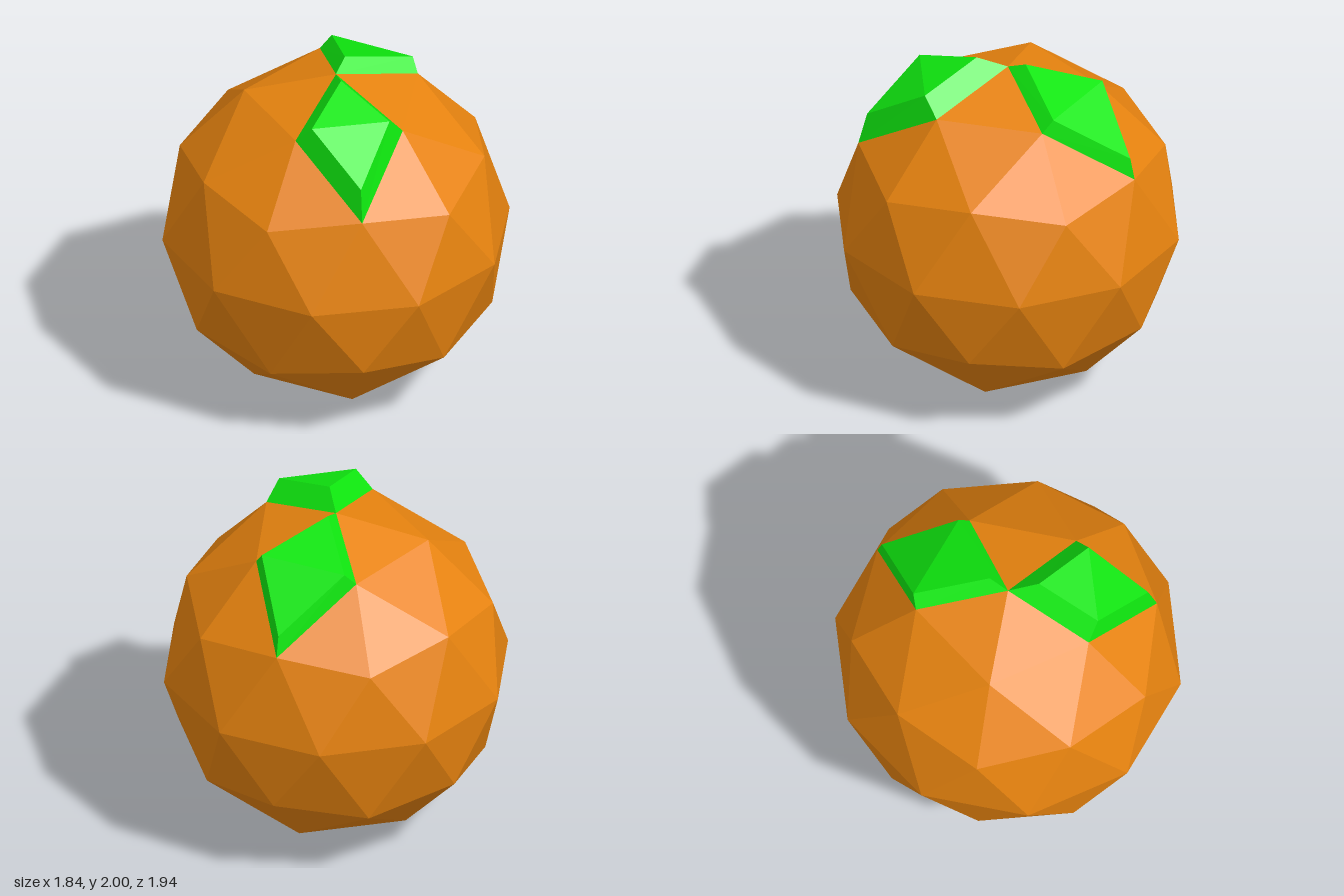
import * as THREE from 'three';

const R = 0.968; // fruit radius, also the height of its centre

// Point on the fruit's surface: azimuth in degrees (from +x toward +z), unit height
function onFruit(azimuth, h) {
  const a = THREE.MathUtils.degToRad(azimuth);
  const r = R * Math.sqrt(1 - h * h);
  return [r * Math.cos(a), R + R * h, r * Math.sin(a)];
}

// Leaf raised from a four-sided patch; corners run counter-clockwise seen from above
function leafGeometry(base, top) {
  const positions = [];
  const tri = (...points) => points.forEach((p) => positions.push(...p));
  for (let i = 0; i < 4; i++) {
    const j = (i + 1) % 4;
    tri(base[i], base[j], top[j]);
    tri(base[i], top[j], top[i]);
  }
  // Upper face folds along the middle ridge
  tri(top[0], top[1], top[3]);
  tri(top[1], top[2], top[3]);
  const g = new THREE.BufferGeometry();
  g.setAttribute('position', new THREE.Float32BufferAttribute(positions, 3));
  g.computeVertexNormals();
  return g;
}

export function createModel() {
  const model = new THREE.Group();
  model.name = 'orangeFruit';

  const peel = new THREE.MeshStandardMaterial({ color: 0xe7830f, flatShading: true });
  peel.name = 'orange peel';
  const green = new THREE.MeshStandardMaterial({ color: 0x0fe70f, flatShading: true });
  green.name = 'leaf green';

  // Faceted fruit, turned so that one corner points straight up
  const fruitGeometry = new THREE.IcosahedronGeometry(R, 1);
  fruitGeometry.rotateX(-Math.atan((1 + Math.sqrt(5)) / 2));
  fruitGeometry.rotateY(Math.PI / 2);
  fruitGeometry.translate(0, R, 0);
  fruitGeometry.computeVertexNormals();
  const fruit = new THREE.Mesh(fruitGeometry, peel);
  fruit.name = 'fruit';
  model.add(fruit);

  // Two leaves meeting at the crown, each covering a pair of facets
  const leaves = [
    {
      name: 'frontLeaf',
      azimuth: 36,
      top: [[0.138, 2.0, 0.103], [0.254, 1.897, 0.454], [0.628, 1.664, 0.454], [0.507, 1.897, 0.103]],
    },
    {
      name: 'backLeaf',
      azimuth: 252,
      top: [[-0.037, 1.985, -0.108], [0.097, 1.865, -0.507], [-0.245, 1.602, -0.757], [-0.377, 1.865, -0.358]],
    },
  ];
  for (const { name, azimuth, top } of leaves) {
    const base = [
      [0, 2 * R, 0],
      onFruit(azimuth + 36, 0.8507),
      onFruit(azimuth, 0.5257),
      onFruit(azimuth - 36, 0.8507),
    ];
    // Azimuth grows clockwise from above, so reverse the sides
    [base[1], base[3]] = azimuth > 180 ? [onFruit(azimuth + 36, 0.8507), onFruit(azimuth - 36, 0.8507)] : [base[1], base[3]];
    const leaf = new THREE.Mesh(leafGeometry(base, top), green);
    leaf.name = name;
    model.add(leaf);
  }
  return model;
}
